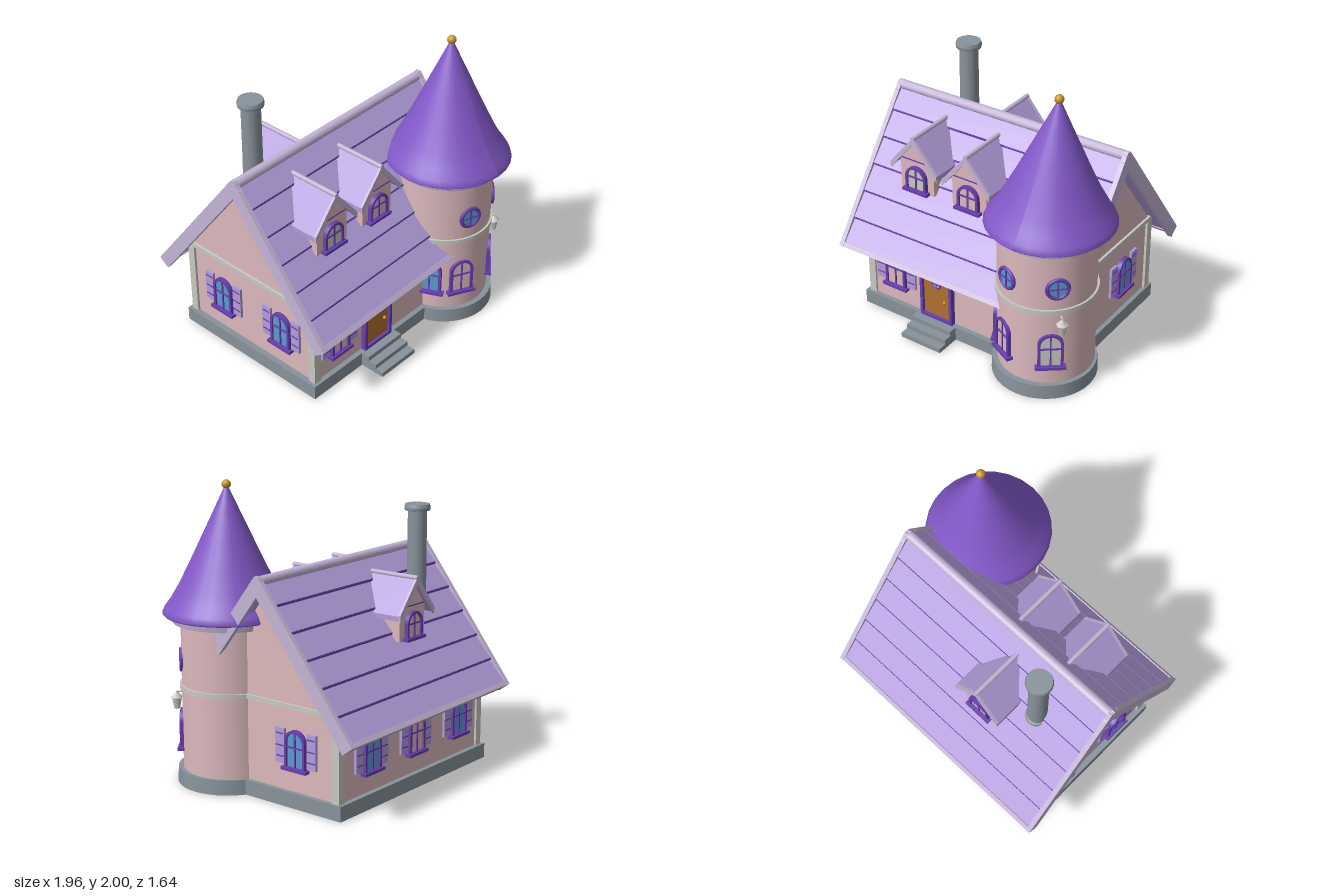
import * as THREE from 'three';

const mat = (name, color) => Object.assign(new THREE.MeshStandardMaterial({ color }), { name });
const M = {
  wall: mat('pink plaster', 0xdcb9bd), roof: mat('lavender', 0xb39ddb), cone: mat('purple', 0x8258c8),
  frame: mat('deep purple', 0x6a3fb0), stone: mat('grey stone', 0x88939b), trim: mat('pale grey', 0xc9c9c3),
  ridge: mat('pale lavender', 0xc4b5d6), door: mat('brown wood', 0xb0702f), glass: mat('blue glass', 0x5b9bd0),
  gold: mat('gold', 0xc9952c),
};
const ZC = -0.075, TX = 0.54, TZ = 0.39, TR = 0.32;

function add(parent, name, geo, material, x = 0, y = 0, z = 0) {
  const m = new THREE.Mesh(geo, material);
  m.name = name;
  m.position.set(x, y, z);
  parent.add(m);
  return m;
}
function group(parent, name, x = 0, y = 0, z = 0, ry = 0) {
  const g = new THREE.Group();
  g.name = name;
  g.position.set(x, y, z);
  g.rotation.y = ry;
  parent.add(g);
  return g;
}
const box = (w, h, d) => new THREE.BoxGeometry(w, h, d);
const cyl = (a, b, h, n = 24) => new THREE.CylinderGeometry(a, b, h, n);
const extrude = (shape, depth) => new THREE.ExtrudeGeometry(shape, { depth, bevelEnabled: false, curveSegments: 10 });
const poly = pts => new THREE.Shape(pts.map(p => new THREE.Vector2(p[0], p[1])));
// Extrudes a [z, y] section along x
const extrudeX = (pts, x0, x1) =>
  extrude(poly(pts.map(([z, y]) => [-z, y])), x1 - x0).rotateY(Math.PI / 2).translate(x0, 0, 0);

function arch(w, h, inset = 0, PathType = THREE.Shape) {
  const r = w / 2 - inset, s = new PathType();
  s.moveTo(-r, inset);
  s.lineTo(r, inset);
  s.lineTo(r, h - w / 2);
  s.absarc(0, h - w / 2, r, 0, Math.PI, false);
  s.closePath();
  return s;
}

// Arched window with its sill at the origin, facing +z
function archWindow(parent, [x, y, z], ry, glass, shutters = false, w = 0.165, h = 0.26) {
  const g = group(parent, 'window', x, y, z, ry);
  const frame = arch(w, h);
  frame.holes.push(arch(w, h, 0.018, THREE.Path));
  add(g, 'windowFrame', extrude(frame, 0.03), M.frame);
  add(g, 'pane', extrude(arch(w, h, 0.012), 0.008), glass, 0, 0, 0.01);
  add(g, 'mullion', box(0.01, h - 0.02, 0.01), M.frame, 0, h / 2, 0.021);
  add(g, 'crossbar', box(w - 0.02, 0.01, 0.01), M.frame, 0, h * 0.56, 0.021);
  add(g, 'sill', box(w + 0.035, 0.02, 0.045), M.frame, 0, 0.005, 0.022);
  if (!shutters) return;
  for (const s of [-1, 1]) {
    add(g, 'shutter', box(0.072, h - 0.03, 0.018), M.roof, s * (w / 2 + 0.045), h / 2 + 0.01, 0.009);
    for (const t of [0.28, 0.55, 0.85])
      add(g, 'shutterRail', box(0.06, 0.008, 0.006), M.frame, s * (w / 2 + 0.045), h * t, 0.018);
  }
}

function roundWindow(parent, [x, y, z], ry, r, glass) {
  const g = group(parent, 'roundWindow', x, y, z, ry);
  add(g, 'ring', new THREE.TorusGeometry(r, r * 0.2, 8, 24), M.frame, 0, 0, 0.012);
  add(g, 'roundPane', cyl(r, r, 0.008).rotateX(Math.PI / 2), glass, 0, 0, 0.012);
  add(g, 'mullion', box(r * 0.12, r * 2, 0.008), M.frame, 0, 0, 0.018);
  add(g, 'crossbar', box(r * 2, r * 0.12, 0.008), M.frame, 0, 0, 0.018);
}

function lantern(parent, x, y, z, ry, s) {
  const g = group(parent, 'lantern', x, y, z, ry);
  add(g, 'lanternBody', cyl(0.026 * s, 0.015 * s, 0.06 * s, 6), M.trim);
  add(g, 'lanternCap', cyl(0.004, 0.034 * s, 0.03 * s, 6), M.trim, 0, 0.045 * s, 0);
  add(g, 'lanternArm', box(0.01, 0.01, 0.07), M.trim, 0, 0.06 * s, -0.03);
}

function buildBody(house) {
  add(house, 'foundation', box(1.59, 0.1, 1.19), M.stone, -0.075, 0.05, ZC);
  const half = 0.56;
  add(house, 'houseWalls', extrudeX(
    [[ZC - half, 0.09], [ZC + half, 0.09], [ZC + half, 0.65], [ZC, 1.385], [ZC - half, 0.65]], -0.83, 0.69), M.wall);
  for (const x of [-0.82, 0.68]) for (const s of [-1, 1])
    add(house, 'cornerPost', box(0.055, 0.55, 0.055), M.trim, x, 0.375, ZC + s * 0.547);
  for (const x of [-0.832, 0.692])
    add(house, 'gableBelt', box(0.03, 0.03, 1.14), M.trim, x, 0.655, ZC);

  // Windows on each wall
  archWindow(house, [-0.61, 0.225, 0.483], 0, M.wall, true);
  archWindow(house, [0.69, 0.25, -0.3], Math.PI / 2, M.glass, true);
  for (const z of [-0.33, 0.2]) archWindow(house, [-0.83, 0.25, z], -Math.PI / 2, M.glass, true);
  [[0.38, M.glass], [-0.09, M.wall], [-0.57, M.glass]].forEach(([x, c]) =>
    archWindow(house, [x, 0.23, -0.635], Math.PI, c, true));

  // Door and steps
  const door = group(house, 'frontDoor', -0.26, 0.1, 0.483);
  const frame = arch(0.26, 0.41);
  frame.holes.push(arch(0.26, 0.41, 0.022, THREE.Path));
  add(door, 'doorFrame', extrude(frame, 0.04), M.frame);
  add(door, 'doorLeaf', extrude(arch(0.26, 0.41, 0.015), 0.02), M.door);
  add(door, 'knob', new THREE.SphereGeometry(0.012, 12, 8), M.gold, 0.068, 0.16, 0.03);
  roundWindow(door, [0, 0.285, 0.012], 0, 0.034, M.roof);
  for (let i = 0; i < 3; i++)
    add(house, 'step', box(0.32, 0.033, 0.2 - i * 0.06), M.stone, -0.26, 0.0165 + i * 0.033, 0.6 - i * 0.03);
  lantern(house, -0.08, 0.45, 0.54, 0, 0.9);
}

function buildRoof(house) {
  const roof = group(house, 'mainRoof', -0.07, 0, ZC, 0.017);
  const L = 1.16, N = 6, top = 1.45, x0 = -0.87, x1 = 0.87;
  for (const s of [1, -1]) {
    // Point at distance t down the slope and n out from it
    const p = (t, n) => [s * (t * 0.607 + n * 0.795), top - t * 0.795 + n * 0.607];
    const strip = (t0, t1, lo, n0, n1) => [p(t0, lo), p(t1, lo), p(t1, n1), p(t0, n0)];
    for (let i = 0; i < N; i++) {
      const end = s > 0 && i > 2 ? 0.6 : x1; // lower front courses stop inside the tower
      add(roof, 'roofCourse', extrudeX(strip(i * L / N, (i + 1) * L / N, -0.04, 0, 0.016), x0, end), M.roof);
      if (i < N - 1) {
        const t = (i + 1) * L / N;
        add(roof, 'courseLip', extrudeX(strip(t - 0.004, t + 0.008, 0, 0.018, 0.01), x0, end), M.frame);
      }
    }
    add(roof, 'eaveBoard', extrudeX(strip(L - 0.015, L + 0.02, -0.045, 0.022, 0.022), x0, s > 0 ? 0.6 : x1), M.ridge);
    for (const e of [-1, 1]) {
      const len = s > 0 && e > 0 ? 0.6 : L + 0.02;
      const a = e < 0 ? x0 - 0.022 : x1 - 0.01;
      add(roof, 'bargeboard', extrudeX(strip(-0.01, len, -0.065, 0.024, 0.024), a, a + 0.032), M.ridge);
    }
  }
  add(roof, 'ridgePole', cyl(0.034, 0.034, 1.78, 12).rotateZ(Math.PI / 2), M.ridge, 0, 1.437, 0);
}

// Dormer whose local z = 0 is the main ridge
function buildDormer(house, x, ry, glass) {
  const g = group(house, 'dormer', x, 0, ZC, ry);
  add(g, 'dormerWalls', extrude(poly(
    [[-0.135, 0.94], [0.135, 0.94], [0.135, 1.16], [0, 1.33], [-0.135, 1.16]]), 0.33), M.wall, 0, 0, 0.09);
  for (const s of [-1, 1]) {
    const slab = (n, m) => poly([[0, 1.345 + n], [s * 0.188, 1.118 + n], [s * 0.188, 1.118 - m], [0, 1.345 - m]]);
    add(g, 'dormerRoof', extrude(slab(0.008, 0.025), 0.37), M.roof, 0, 0, 0.085);
    add(g, 'dormerBargeboard', extrude(slab(0.014, 0.034), 0.018), M.ridge, 0, 0, 0.445);
  }
  add(g, 'dormerRidge', cyl(0.016, 0.016, 0.375, 10).rotateX(Math.PI / 2), M.ridge, 0, 1.35, 0.275);
  add(g, 'dormerBeam', box(0.27, 0.008, 0.008), M.frame, 0, 1.165, 0.42);
  archWindow(g, [0, 0.945, 0.418], 0, glass, false, 0.165, 0.185);
}

function buildChimney(house) {
  const g = group(house, 'chimney', -0.555, 0, -0.3);
  const prof = [[0, 1.0], [0.04, 1.02], [0.078, 1.08], [0.078, 1.11], [0.066, 1.12], [0.064, 1.725],
    [0.085, 1.73], [0.088, 1.75], [0.082, 1.772], [0, 1.772]];
  // Each profile span is its own ring so the edges stay sharp
  for (let i = 0; i < prof.length - 1; i++)
    add(g, 'chimneyRing', new THREE.LatheGeometry([prof[i], prof[i + 1]].map(p => new THREE.Vector2(...p)), 24), M.stone);
}

function buildTower(root) {
  const t = group(root, 'tower', TX, 0, TZ);
  add(t, 'towerFoundation', cyl(0.343, 0.348, 0.1, 40), M.stone, 0, 0.05, 0.015);
  add(t, 'towerWall', cyl(TR, TR, 1.02, 40), M.wall, 0, 0.6, 0);
  add(t, 'towerBelt', cyl(TR + 0.014, TR + 0.014, 0.03, 40), M.trim, 0, 0.655, 0);
  add(t, 'towerCornice', cyl(0.368, 0.36, 0.045, 40), M.ridge, 0.015, 1.105, 0);

  // Flared spire leaning slightly
  const prof = [[0, 1.13], [0.41, 1.13], [0.422, 1.142], [0.405, 1.18], [0.365, 1.235], [0.315, 1.32],
    [0.245, 1.46], [0.165, 1.63], [0.085, 1.8], [0.015, 1.95], [0, 1.955]].map(p => new THREE.Vector2(...p));
  const spire = new THREE.LatheGeometry(prof, 28);
  const pos = spire.attributes.position;
  for (let i = 0; i < pos.count; i++) {
    const k = (pos.getY(i) - 1.13) / 0.82;
    pos.setX(i, pos.getX(i) + 0.02 + k * 0.027);
    pos.setZ(i, pos.getZ(i) - k * 0.03);
  }
  spire.computeVertexNormals();
  add(t, 'spire', spire, M.cone);
  add(t, 'finial', new THREE.SphereGeometry(0.03, 16, 12), M.gold, 0.047, 1.97, -0.03);

  const at = (deg, y, r) => {
    const a = deg * Math.PI / 180;
    return [[Math.sin(a) * r, y, Math.cos(a) * r], a];
  };
  [[-65, M.glass], [-26, M.wall], [38, M.trim]].forEach(([d, c]) => archWindow(t, ...at(d, 0.225, 0.305), c));
  for (const d of [-18, 45]) roundWindow(t, ...at(d, 0.825, 0.308), 0.068, M.glass);
  const [[lx, ly, lz], a] = at(49, 0.54, 0.355);
  lantern(t, lx, ly, lz, a, 1.25);
}

export function createModel() {
  const root = new THREE.Group();
  root.name = 'cottageWithTower';
  const house = group(root, 'house');
  buildBody(house);
  buildRoof(house);
  buildDormer(house, -0.515, 0, M.trim);
  buildDormer(house, -0.095, 0, M.wall);
  buildDormer(house, -0.24, Math.PI, M.wall);
  buildChimney(house);
  buildTower(root);
  return root;
}
